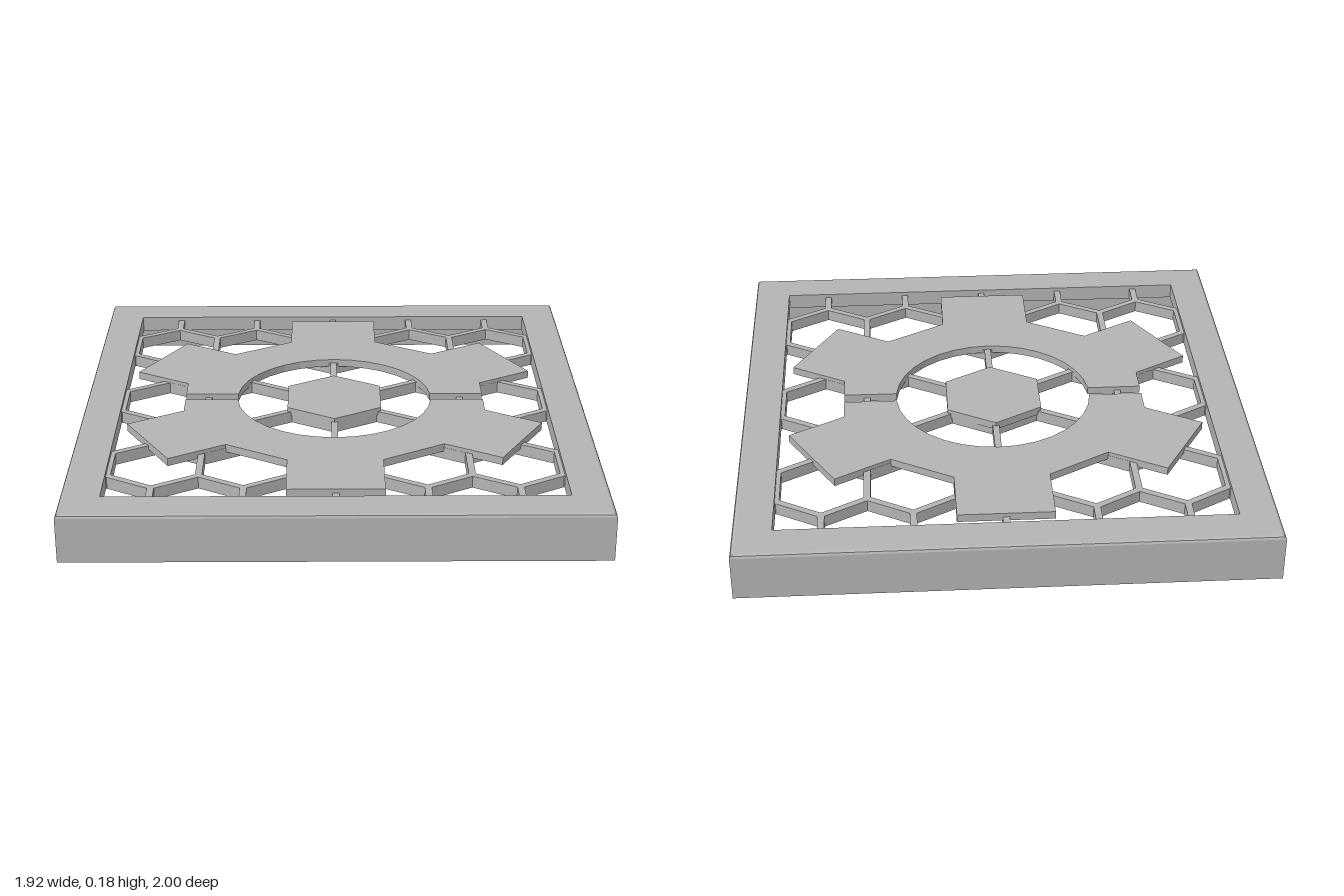
import * as THREE from 'three';

const W = 0.96, D = 1, H = 0.18;       // half width, half depth, height of the frame
const WIN_X = 0.82, WIN_Z = 0.855;     // half size of the frame opening
const PITCH = 0.3266, STRUT = 0.025;   // honeycomb spacing and strut width

// Extrude an outline drawn in plan upward from y0 to y1
function slab(shape, y0, y1) {
  const g = new THREE.ExtrudeGeometry(shape, { depth: y1 - y0, bevelEnabled: false });
  g.rotateX(-Math.PI / 2);
  g.translate(0, y0, 0);
  return g;
}

// Hexagon with its flat sides facing +x and -x
function hexagon(cx, cy, apothem) {
  const r = apothem / Math.cos(Math.PI / 6);
  return Array.from({ length: 6 }, (_, i) => {
    const a = Math.PI / 6 + i * Math.PI / 3;
    return new THREE.Vector2(cx + r * Math.cos(a), cy + r * Math.sin(a));
  });
}

// Cut a convex polygon to the rectangle |x| <= hx, |y| <= hy
function clip(poly, hx, hy) {
  for (const [axis, sign, lim] of [['x', 1, hx], ['x', -1, hx], ['y', 1, hy], ['y', -1, hy]]) {
    const out = [];
    poly.forEach((p, i) => {
      const q = poly[(i + 1) % poly.length];
      const dp = lim - sign * p[axis], dq = lim - sign * q[axis];
      if (dp >= 0) out.push(p);
      if (dp * dq < 0) out.push(p.clone().lerp(q, dp / (dp - dq)));
    });
    poly = out;
  }
  return poly;
}

// Hollow frame: one wall-and-lip section carried round the rectangle
function frameGeometry() {
  const section = [
    [0, 0, 0], [0, 0, H - 0.012], [0.004, 0.004, H - 0.004], [0.012, 0.012, H],
    [W - WIN_X, D - WIN_Z, H], [W - WIN_X, D - WIN_Z, H - 0.04],
    [0.025, 0.025, H - 0.04], [0.025, 0.025, 0],
  ];
  const corners = [[-1, 1], [1, 1], [1, -1], [-1, -1]];
  const at = ([ix, iz, y], [sx, sz]) => [sx * (W - ix), y, sz * (D - iz)];
  const pos = [];
  corners.forEach((c, i) => {
    const n = corners[(i + 1) % 4];
    section.forEach((p, j) => {
      const q = section[(j + 1) % section.length];
      const a = at(p, c), b = at(p, n), e = at(q, n), f = at(q, c);
      pos.push(...a, ...b, ...e, ...a, ...e, ...f);
    });
  });
  const g = new THREE.BufferGeometry();
  g.setAttribute('position', new THREE.Float32BufferAttribute(pos, 3));
  g.computeVertexNormals();
  return g;
}

// Honeycomb sheet with open cells, its rim tucked into the lip
function latticeGeometry() {
  const hx = WIN_X + 0.008, hy = WIN_Z + 0.008;
  const sheet = new THREE.Shape([[-hx, -hy], [hx, -hy], [hx, hy], [-hx, hy]].map(p => new THREE.Vector2(...p)));
  const rowStep = PITCH * Math.sqrt(3) / 2;
  for (let row = -3; row <= 3; row++) {
    for (let col = -4; col <= 4; col++) {
      const cx = (col + (row % 2 ? 0.5 : 0)) * PITCH;
      const cell = clip(hexagon(cx, row * rowStep, (PITCH - STRUT) / 2), WIN_X, WIN_Z);
      if (cell.length > 2) sheet.holes.push(new THREE.Path(cell));
    }
  }
  return slab(sheet, 0.12, 0.165);
}

// Half of the toothed ring: three square teeth and half the round opening
function halfGearShape() {
  const gap = 0.026, edge = 0.578, half = 0.175, tip = 0.803, root = 0.566, bore = 0.375;
  const pts = [new THREE.Vector2(edge, gap)];
  for (const deg of [30, 90, 150]) {
    for (const [u, v] of [[root, -half], [tip, -half], [tip, half], [root, half]]) {
      pts.push(new THREE.Vector2(u, v).rotateAround(new THREE.Vector2(), deg * Math.PI / 180));
    }
  }
  pts.push(new THREE.Vector2(-edge, gap));
  const a0 = Math.asin(gap / bore), steps = 16;
  for (let i = 0; i <= steps; i++) {
    const a = Math.PI - a0 - (Math.PI - 2 * a0) * i / steps;
    pts.push(new THREE.Vector2(bore * Math.cos(a), bore * Math.sin(a)));
  }
  return new THREE.Shape(pts);
}

export function createModel() {
  const model = new THREE.Group();
  model.name = 'honeycombCover';
  const grey = new THREE.MeshStandardMaterial({ color: 0xb4b4b4 });
  grey.name = 'grey';
  const add = (name, geometry) => {
    const mesh = new THREE.Mesh(geometry, grey);
    mesh.name = name;
    model.add(mesh);
    return mesh;
  };

  add('frame', frameGeometry());
  add('honeycomb', latticeGeometry());

  // Raised emblem plates on the honeycomb
  const gear = slab(halfGearShape(), 0.15, H);
  add('gearHalfBack', gear);
  add('gearHalfFront', gear).rotation.y = Math.PI;
  add('centreHexagon', slab(new THREE.Shape(hexagon(0, 0, 0.18)), 0.15, H));

  // Small snap bumps inside the side walls
  const bump = new THREE.SphereGeometry(0.018, 12, 8);
  for (const sx of [-1, 1]) {
    for (const sz of [-1, 1]) {
      const m = add('snapBump', bump);
      m.position.set(sx * (W - 0.025), 0.06, sz * 0.63);
      m.scale.x = 0.7;
    }
  }
  return model;
}
